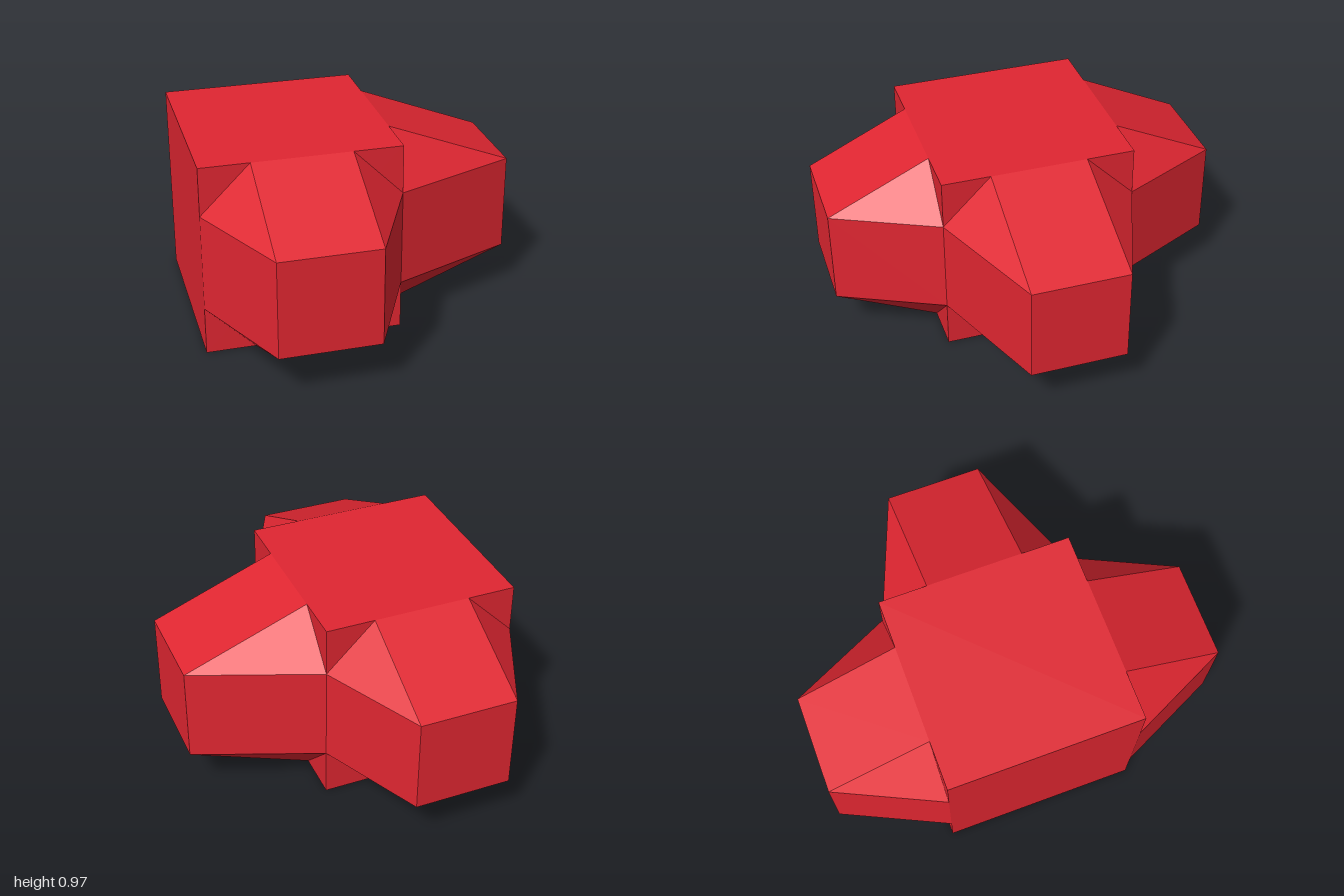
import * as THREE from 'three';

const HALF = 0.486;   // half size of the central cube
const INSET = 0.243;  // half size of each lobe's square tip

// Tapered lobe along +z: octagonal root at z = 0, square tip at z = length
function lobeGeometry(length) {
  const turn = (x, y, z, i) => {
    const a = (i % 4) * Math.PI / 2;
    return [x * Math.cos(a) - y * Math.sin(a), x * Math.sin(a) + y * Math.cos(a), z];
  };
  const low = i => turn(HALF, INSET, 0, i);
  const high = i => turn(INSET, HALF, 0, i);
  const tip = i => turn(INSET, INSET, length, i);
  const points = [];
  const quad = (a, b, c, d) => points.push(...a, ...b, ...c, ...a, ...c, ...d);
  for (let i = 0; i < 4; i++) {
    points.push(...low(i), ...high(i), ...tip(i));           // corner triangle
    quad(high(i), low(i + 1), tip(i + 1), tip(i));           // sloping side
  }
  quad(tip(0), tip(1), tip(2), tip(3));                      // end cap
  const geometry = new THREE.BufferGeometry();
  geometry.setAttribute('position', new THREE.Float32BufferAttribute(points, 3));
  geometry.computeVertexNormals();
  return geometry;
}

export function createModel() {
  const red = new THREE.MeshStandardMaterial({ color: 0xe02631 });
  red.name = 'red';

  const model = new THREE.Group();
  model.name = 'lobedBlock';
  const body = new THREE.Group();
  body.name = 'body';
  body.position.set(-0.31, HALF, 0);
  model.add(body);

  const cube = new THREE.Mesh(new THREE.BoxGeometry(2 * HALF, 2 * HALF, 2 * HALF), red);
  cube.name = 'centralCube';
  body.add(cube);

  // Lobes on three sides; the remaining side stays flat
  const lobes = [
    ['frontLobe', 0, 0.514],
    ['leftLobe', Math.PI / 2, 0.62],
    ['backLobe', Math.PI, 0.514],
  ];
  for (const [name, angle, length] of lobes) {
    const lobe = new THREE.Mesh(lobeGeometry(length), red);
    lobe.name = name;
    lobe.rotation.y = angle;
    lobe.position.set(Math.sin(angle) * HALF, 0, Math.cos(angle) * HALF);
    body.add(lobe);
  }
  return model;
}
